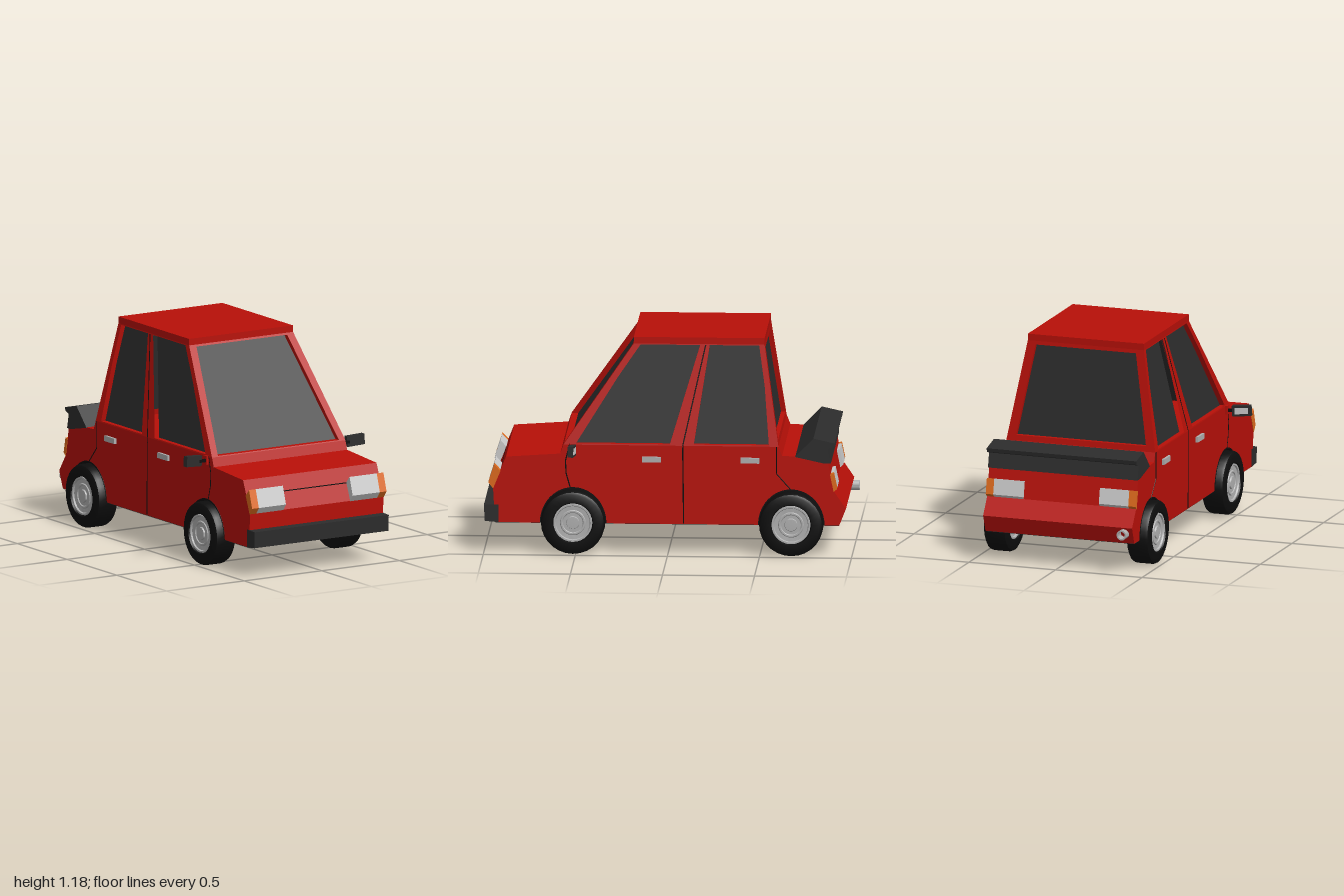
import * as THREE from 'three';
import { toCreasedNormals } from 'three/addons/utils/BufferGeometryUtils.js';

const mat = (color) => new THREE.MeshStandardMaterial({ color });
const RED = mat(0xb81008), DARK = mat(0x2c2c2c), BLACK = mat(0x0d0d0d);
const GREY = mat(0xcccccc), METAL = mat(0xb0b0b0), ORANGE = mat(0xdd6a1c);

const HALF = 0.43, INNER = 0.29, BELT = 0.6, EAVE = 1.145, FLOOR = 0.167;
const WHEELS = [-0.67, 0.515], ARCH_W = 0.179, ARCH_H = 0.196;

// Cabin slopes between belt line and eaves
const slope = (low, high) => (y) =>
  THREE.MathUtils.lerp(low, high, THREE.MathUtils.clamp((y - BELT) / (EAVE - BELT), 0, 1));
const sideX = slope(HALF, 0.335);
const frontZ = slope(0.568, 0.19);
const rearZ = slope(0.6, 0.52);

const toPoints = (pts) => pts.map(([a, b]) => new THREE.Vector2(a, b));
const toShape = (pts) => new THREE.Shape(toPoints(pts));
const lathe = (pts, sides) => toCreasedNormals(new THREE.LatheGeometry(toPoints(pts), sides), 0.6);

export function createModel() {
  const model = new THREE.Group();

  const add = (name, geometry, material, x = 0, y = 0, z = 0) => {
    const mesh = new THREE.Mesh(geometry, material);
    mesh.name = name;
    mesh.position.set(x, y, z);
    model.add(mesh);
    return mesh;
  };
  const box = (name, w, h, d, material, x, y, z) =>
    add(name, new THREE.BoxGeometry(w, h, d), material, x, y, z);

  // Side profile (z, y) extruded across the car from x0 to x1
  const across = (name, shape, x0, x1, material) => {
    const geo = new THREE.ExtrudeGeometry(shape, { depth: x1 - x0, bevelEnabled: false, curveSegments: 10 });
    geo.rotateY(-Math.PI / 2);
    return add(name, geo, material, x1);
  };

  // Flat panel with optional openings, leaned into place by a rule
  const panel = (name, outline, holes, depth, material, place) => {
    const shape = toShape(outline);
    for (const h of holes) shape.holes.push(toShape(h));
    const geo = new THREE.ExtrudeGeometry(shape, { depth, bevelEnabled: false });
    const p = geo.attributes.position;
    for (let i = 0; i < p.count; i++) p.setXYZ(i, ...place(p.getX(i), p.getY(i), p.getZ(i) - depth));
    geo.computeVertexNormals();
    return add(name, geo, material);
  };

  // Lower body: core plus side skins with wheel arches
  const profile = [
    [0.94, FLOOR], [0.95, 0.355], [0.88, 0.53], [0.585, 0.55], [0.568, BELT],
    [-0.6, BELT], [-0.62, 0.55], [-0.865, 0.54], [-0.902, 0.355], [-0.967, 0.26], [-0.93, FLOOR],
  ];
  across('bodyCore', toShape(profile), -INNER, INNER, RED);
  const skin = toShape(profile);
  for (const z of WHEELS) skin.absellipse(z, FLOOR, ARCH_W, ARCH_H, Math.PI, 0, true, 0);
  across('leftBodySide', skin, INNER, HALF, RED);
  across('rightBodySide', skin, -HALF, -INNER, RED);

  // Underside
  const floorY = FLOOR + 0.003;
  box('floor', INNER * 2, 0.01, 1.865, DARK, 0, floorY, 0.005);
  for (const [z0, z1] of [[0.938, 0.694], [0.336, -0.491], [-0.849, -0.928]])
    box('floorSection', HALF * 2 - 0.004, 0.01, z0 - z1, DARK, 0, floorY - 0.0005, (z0 + z1) / 2);

  // Roof and glasshouse
  box('roof', 0.67, 0.037, 0.71, RED, 0, 1.1625, -0.165);
  const endOutline = [[-HALF, BELT], [HALF, BELT], [0.335, EAVE], [-0.335, EAVE]];
  const screen = [[-0.39, 0.605], [0.39, 0.605], [0.292, 1.135], [-0.292, 1.135]];
  const rearWindow = [[-0.375, 0.63], [0.375, 0.63], [0.29, 1.125], [-0.29, 1.125]];
  const onFront = (a, b, c) => [a, b, frontZ(b) + c];
  const onRear = (a, b, c) => [-a, b, -rearZ(b) - c];
  panel('windscreenFrame', endOutline, [screen], 0.04, RED, onFront);
  panel('windscreen', screen, [], 0.005, DARK, (a, b, c) => onFront(a, b, c - 0.034));
  panel('rearWindowFrame', endOutline, [rearWindow], 0.03, RED, onRear);
  panel('rearWindow', rearWindow, [], 0.005, DARK, (a, b, c) => onRear(a, b, c - 0.024));

  for (const s of [1, -1]) {
    const side = s > 0 ? 'left' : 'right';
    const span = (a, b) => (s > 0 ? [a, b] : [-b, -a]);
    const onSide = (a, b, c) => [s * (sideX(b) + c), b, -s * a];
    const flip = (pts) => pts.map(([z, y]) => [-s * z, y]);

    // Side windows
    const outline = flip([[0.568, BELT], [-0.6, BELT], [-0.52, EAVE], [0.19, EAVE]]);
    const windows = [
      flip([[0.5, 0.607], [-0.01, 0.607], [-0.17, 1.14], [0.165, 1.14]]),
      flip([[-0.14, 0.607], [-0.548, 0.607], [-0.505, 1.14], [-0.222, 1.14]]),
    ];
    panel(side + 'WindowFrame', outline, windows, 0.035, RED, onSide);
    windows.forEach((w) =>
      panel(side + 'Window', w, [], 0.005, DARK, (a, b, c) => onSide(a, b, c - 0.028)));

    // Door seams, as (z, y) paths on the flank
    const seams = [
      [[-0.2, 1.14], [-0.08, 0.6], [-0.085, 0.17]],
      [[0.535, 0.605], [0.557, 0.51], [0.553, 0.44], [0.53, 0.36]],
      [[-0.59, 0.6], [-0.59, 0.45], [-0.67, 0.36]],
    ];
    for (const seam of seams) {
      const pts = seam.map(([z, y]) => new THREE.Vector3(s * (sideX(y) - 0.001), y, z));
      const curve = new THREE.CatmullRomCurve3(pts, false, 'catmullrom', 0);
      add(side + 'DoorSeam', new THREE.TubeGeometry(curve, 32, 0.0035, 5), BLACK);
    }

    // Door handles
    for (const z of [0.09, -0.445]) box(side + 'DoorHandle', 0.02, 0.03, 0.102, METAL, s * 0.434, 0.523, z);

    // Wing mirror on its mount
    box(side + 'MirrorMount', 0.03, 0.048, 0.03, RED, s * 0.428, 0.58, 0.52);
    box(side + 'MirrorArm', 0.05, 0.016, 0.018, BLACK, s * 0.46, 0.578, 0.52);
    const mirror = new THREE.Group();
    mirror.name = side + 'Mirror';
    const housing = new THREE.Mesh(new THREE.BoxGeometry(0.105, 0.058, 0.03), DARK);
    const glass = new THREE.Mesh(new THREE.BoxGeometry(0.075, 0.034, 0.004), GREY);
    housing.name = 'mirrorHousing';
    glass.name = 'mirrorGlass';
    glass.position.z = -0.015;
    mirror.add(housing, glass);
    mirror.position.set(s * 0.522, 0.583, 0.518);
    mirror.rotation.set(0, s * -0.12, s * 0.07);
    model.add(mirror);

    // Lamps with wrap-around indicators
    const lamps = [
      ['Headlamp', [[0.91, 0.45], [0.944, 0.487], [0.976, 0.388], [0.95, 0.353]], 0.215],
      ['TailLamp', [[-0.88, 0.45], [-0.9, 0.455], [-0.918, 0.37], [-0.9, 0.352]], 0.22],
    ];
    for (const [name, pts, inner] of lamps) {
      across(side + name, toShape(pts), ...span(inner, 0.39), GREY);
      across(side + name + 'Indicator', toShape(pts), ...span(0.39, 0.433), ORANGE);
    }

    // Wheels with a rim on both faces, and dark arch liners
    const tyre = [[0.106, -0.05], [0.112, -0.065], [0.155, -0.065], [0.168, -0.058], [0.174, -0.045],
      [0.174, 0.045], [0.168, 0.058], [0.155, 0.065], [0.112, 0.065], [0.106, 0.05]];
    const rim = [[0.107, 0.045], [0.105, 0.06], [0.096, 0.06], [0.092, 0.052], [0.07, 0.05],
      [0.066, 0.055], [0.058, 0.055], [0.054, 0.05], [0.036, 0.05], [0.033, 0.058], [0, 0.06]];
    for (const z of WHEELS) {
      add(side + 'Tyre', lathe(tyre, 28), BLACK, s * 0.413, 0.175, z).rotation.z = -s * Math.PI / 2;
      for (const face of [1, -1])
        add(side + 'Rim', lathe(rim, 28), METAL, s * 0.413, 0.175, z).rotation.z = face * Math.PI / 2;
      const back = new THREE.Shape().absellipse(z, FLOOR, ARCH_W, ARCH_H, 0, Math.PI, false, 0);
      const lip = new THREE.Shape().absellipse(z, FLOOR, ARCH_W + 0.002, ARCH_H + 0.002, 0, Math.PI, false, 0);
      lip.absellipse(z, FLOOR, ARCH_W - 0.003, ARCH_H - 0.006, Math.PI, 0, true, 0);
      across(side + 'ArchBack', back, ...span(INNER - 0.001, INNER + 0.005), BLACK);
      across(side + 'ArchLip', lip, ...span(INNER, HALF + 0.002), BLACK);
    }
  }

  // Front bumper and bonnet seam
  const bumper = [[0.92, FLOOR], [0.995, 0.173], [1, 0.262], [0.92, 0.265]];
  across('frontBumper', toShape(bumper), -0.432, 0.432, DARK);
  box('bonnetSeam', 0.43, 0.005, 0.01, BLACK, 0, 0.449, 0.909);

  // Boot spoiler
  const spoiler = [[-0.69, 0.545], [-0.79, 0.648], [-0.906, 0.622], [-0.902, 0.602],
    [-0.868, 0.59], [-0.885, 0.51], [-0.85, 0.51]];
  across('spoiler', toShape(spoiler), -0.432, 0.432, DARK);

  // Exhaust pipe with recessed bore
  const pipe = [[0.028, 0], [0.028, 0.12], [0.02, 0.12], [0.02, 0.03], [0, 0.03]];
  const exhaust = add('exhaustPipe', lathe(pipe, 14), METAL, -0.38, 0.225, -0.88);
  exhaust.rotation.x = -Math.PI / 2;

  return model;
}
